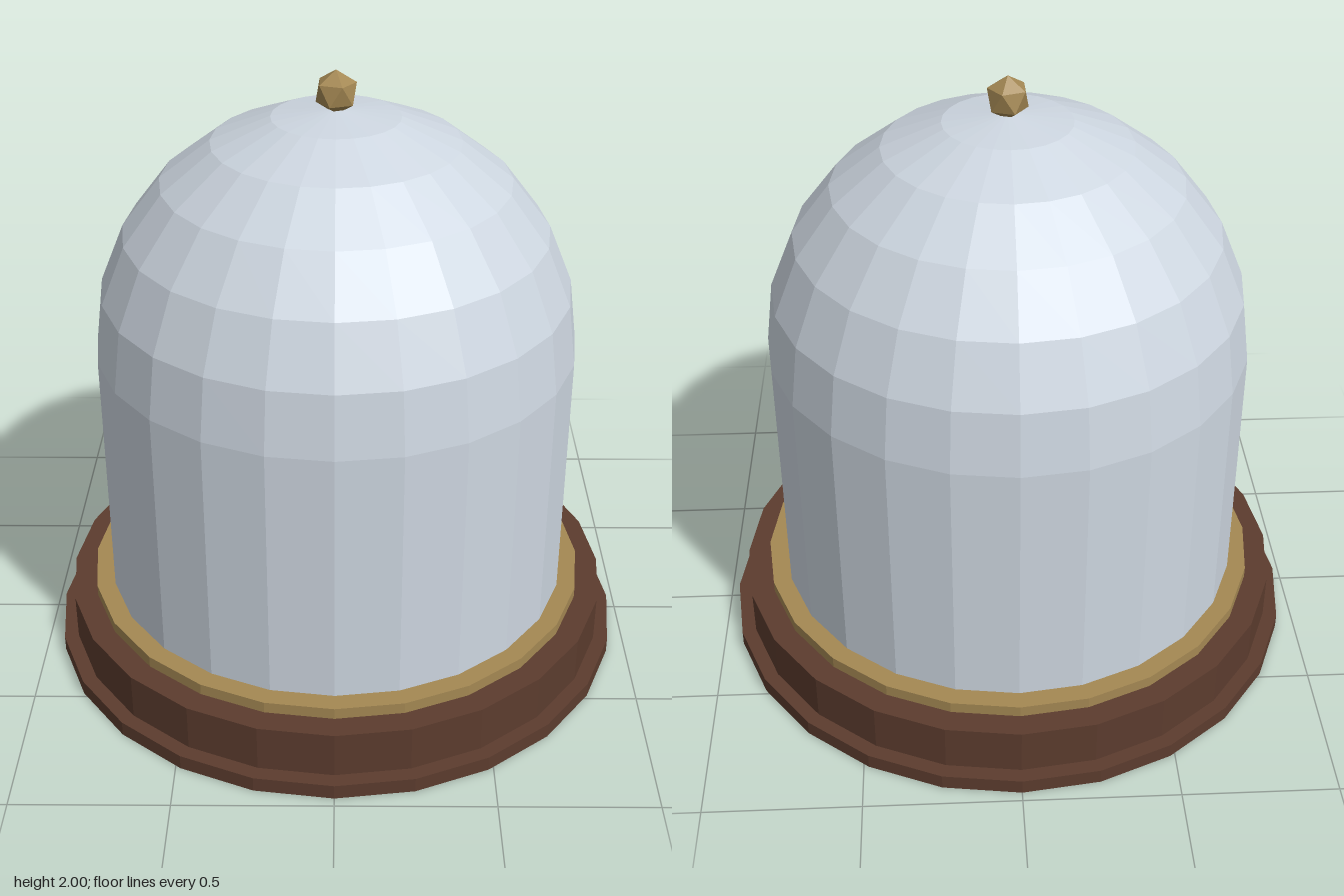
import * as THREE from 'three';

const SIDES = 24;

function material(name, color) {
  const m = new THREE.MeshStandardMaterial({ color, flatShading: true });
  m.name = name;
  return m;
}

export function createModel() {
  const group = new THREE.Group();
  group.name = 'glassDomeDisplay';

  const wood = material('darkWood', 0x5c3c2e);
  const brass = material('brass', 0xa48853);
  const glass = material('paleGlass', 0xcdd6e0);
  glass.side = THREE.DoubleSide;

  const add = (name, geometry, mat, y = 0) => {
    const mesh = new THREE.Mesh(geometry, mat);
    mesh.name = name;
    mesh.position.y = y;
    group.add(mesh);
  };
  const disc = (name, radius, bottom, top, mat) =>
    add(name, new THREE.CylinderGeometry(radius, radius, top - bottom, SIDES), mat, (bottom + top) / 2);

  // Stepped base and the ring that seats the glass
  disc('foot', 0.968, 0, 0.05, wood);
  disc('plinth', 0.92, 0.05, 0.207, wood);
  disc('seatRing', 0.842, 0.207, 0.245, brass);

  // Glass cover: straight wall running into a hemisphere
  const radius = 0.78, shoulder = 1.1, bands = 6;
  const profile = [new THREE.Vector2(radius, 0.245)];
  for (let i = 0; i <= bands; i++) {
    const a = (i / bands) * Math.PI / 2;
    profile.push(new THREE.Vector2(i === bands ? 0 : radius * Math.cos(a), shoulder + radius * Math.sin(a)));
  }
  add('glassDome', new THREE.LatheGeometry(profile, SIDES), glass);

  // Faceted knob standing on one corner
  const knob = new THREE.IcosahedronGeometry(0.07, 0);
  knob.rotateZ(-Math.atan(2 / (1 + Math.sqrt(5))));
  add('knob', knob, brass, 1.93);

  return group;
}
